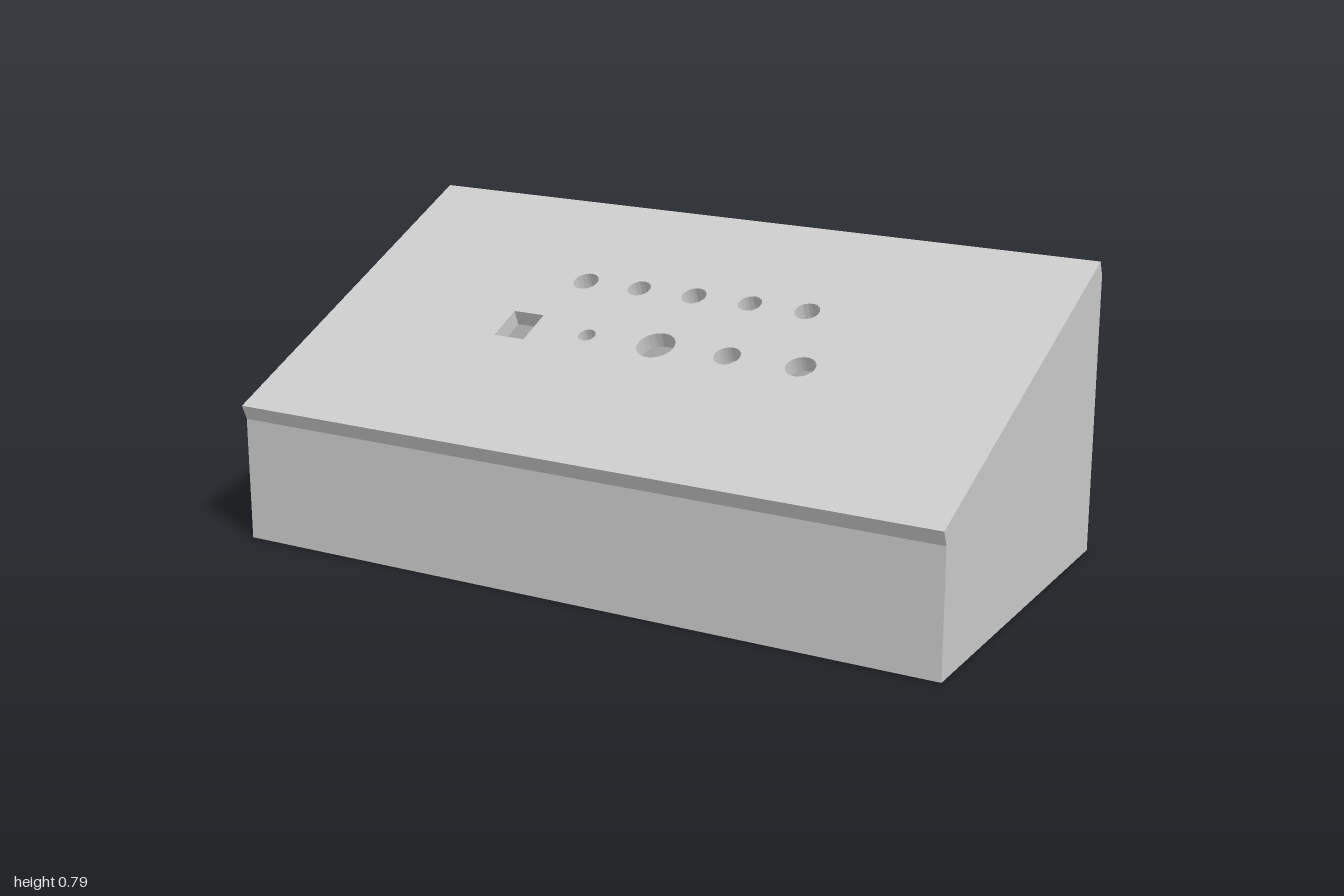
import * as THREE from 'three';
import { toCreasedNormals } from 'three/addons/utils/BufferGeometryUtils.js';

const FRONT = 0.491, BACK = -0.508;        // z of the outer walls
const FRONT_Y = 0.335, BACK_Y = 0.75;      // wall heights
const WALL = 0.042, THICK = 0.044;
const SLOPE = Math.atan2(BACK_Y - FRONT_Y, FRONT - BACK);
const LENGTH = Math.hypot(BACK_Y - FRONT_Y, FRONT - BACK);

// Height of the sloping wall tops at a given z
const topY = (z) => FRONT_Y + (FRONT - z) * Math.tan(SLOPE);

// Rectangular ring of corners, inset from the outer walls
function ring(inset, atTop) {
  const x = 1 - inset, f = FRONT - inset, b = BACK + inset;
  return [[x, f], [x, b], [-x, b], [-x, f]].map(([px, z]) => [px, atTop ? topY(z) : 0, z]);
}

// Open-bottomed housing: inner walls, bottom rim and outer walls lofted in turn
function housingGeometry() {
  const rings = [ring(WALL, true), ring(WALL, false), ring(0, false), ring(0, true)];
  const pos = [];
  for (let r = 0; r < 3; r++) {
    const a = rings[r], b = rings[r + 1];
    for (let i = 0; i < 4; i++) {
      const j = (i + 1) % 4;
      pos.push(...a[i], ...a[j], ...b[j], ...a[i], ...b[j], ...b[i]);
    }
  }
  const g = new THREE.BufferGeometry();
  g.setAttribute('position', new THREE.Float32BufferAttribute(pos, 3));
  g.computeVertexNormals();
  return g;
}

function rectangle(path, x, y, w, h) {
  path.moveTo(x - w / 2, y - h / 2);
  path.lineTo(x + w / 2, y - h / 2);
  path.lineTo(x + w / 2, y + h / 2);
  path.lineTo(x - w / 2, y + h / 2);
  path.closePath();
  return path;
}

// Control panel: a flat plate with round holes and one rectangular cut-out
function panelGeometry() {
  const plate = rectangle(new THREE.Shape(), 0, 0, 2, LENGTH);
  const upper = 0.178, lower = -0.046;
  const holes = [
    [-0.333, upper, 0.035], [-0.167, upper, 0.032], [0, upper, 0.034],
    [0.167, upper, 0.032], [0.333, upper, 0.034],
    [-0.208, lower, 0.024], [0, lower, 0.052], [0.208, lower, 0.036], [0.416, lower, 0.04],
  ];
  for (const [x, y, r] of holes) {
    plate.holes.push(new THREE.Path().absarc(x, y, r, 0, Math.PI * 2, true));
  }
  plate.holes.push(rectangle(new THREE.Path(), -0.419, lower, 0.092, 0.11));
  const g = new THREE.ExtrudeGeometry(plate, { depth: THICK, bevelEnabled: false, curveSegments: 24 });
  return toCreasedNormals(g, 0.6);
}

export function createModel() {
  const group = new THREE.Group();
  group.name = 'slopedEnclosure';
  const grey = new THREE.MeshStandardMaterial({ color: 0xcccccc });

  const housing = new THREE.Mesh(housingGeometry(), grey);
  housing.name = 'housing';

  // Panel rests on the sloping wall tops
  const panel = new THREE.Mesh(panelGeometry(), grey);
  panel.name = 'controlPanel';
  panel.rotation.x = SLOPE - Math.PI / 2;
  panel.position.set(0, (FRONT_Y + BACK_Y) / 2, (FRONT + BACK) / 2);

  group.add(housing, panel);
  return group;
}
